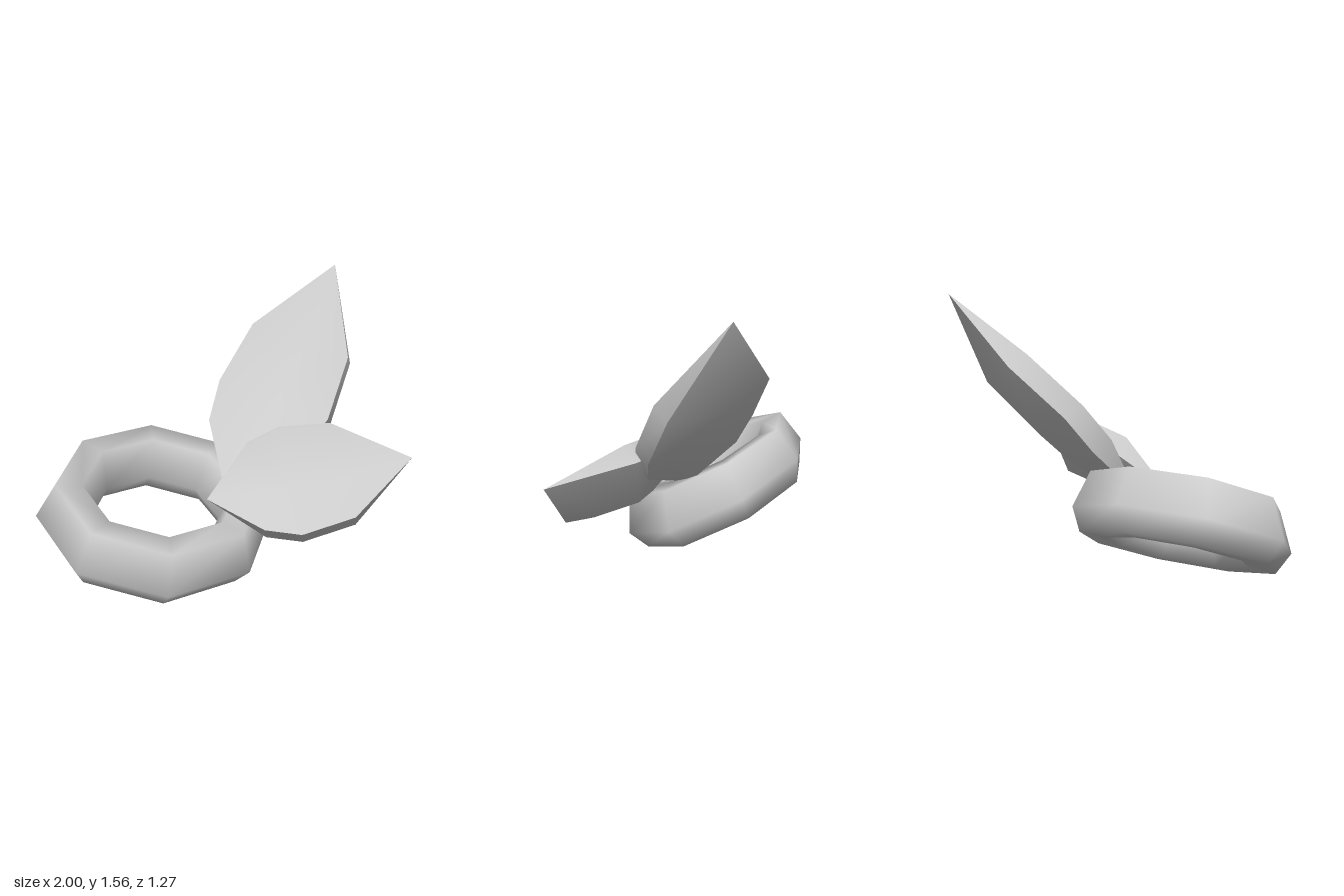
import * as THREE from 'three';
import { toCreasedNormals } from 'three/addons/utils/BufferGeometryUtils.js';

const V = (x, y, z) => new THREE.Vector3(x, y, z);
const material = new THREE.MeshStandardMaterial({ color: 0xcccccc });

// Eight-segment oval ring with a six-sided section, tilted towards the front
function createRing() {
  const centre = V(-0.365, 0.317, 0.137);
  const u = V(-0.635, 0.063, 0.103);      // long half axis
  const v = V(-0.065, 0.23, -0.499);      // short half axis
  const middle = V(0, 0, 0), top = V(0.033, 0.2, 0.053), bottom = V(-0.02, -0.113, -0.048);
  // [share of the outer radius, offset of the loop's centre]
  const section = [[1, middle], [0.87, top], [0.65, top], [0.54, middle], [0.65, bottom], [0.89, bottom]];
  const segments = 8, sides = section.length;
  const positions = [], index = [];
  for (let i = 0; i < segments; i++) {
    const a = (i / segments) * Math.PI * 2;
    section.forEach(([r, offset], j) => {
      const p = centre.clone().add(offset)
        .addScaledVector(u, r * Math.cos(a))
        .addScaledVector(v, r * Math.sin(a));
      positions.push(p.x, p.y, p.z);
      const next = ((i + 1) % segments) * sides, here = i * sides, k = (j + 1) % sides;
      index.push(here + j, here + k, next + j, here + k, next + k, next + j);
    });
  }
  const geometry = new THREE.BufferGeometry();
  geometry.setAttribute('position', new THREE.Float32BufferAttribute(positions, 3));
  geometry.setIndex(index);
  geometry.computeVertexNormals();
  return geometry;
}

// Thick cupped leaf: front and back faces joined by a rim that closes at base and tip
function createLeaf(base, tip, left, right, thickness, keel) {
  const positions = [];
  const tri = (a, b, c) => {
    if (a === b || b === c || c === a) return;
    for (const p of [a, b, c]) positions.push(p.x, p.y, p.z);
  };
  const quad = (a, b, c, d) => { tri(a, b, c); tri(a, c, d); };
  const row = (points) => [base, ...points, tip];
  const shift = (p) => p.clone().add(thickness);
  const middle = left.map((p, i) => p.clone().lerp(right[i], 0.5).add(keel[i]));

  const [fl, fm, fr] = [left, middle, right].map(row);
  const [bl, bm, br] = [left, middle, right].map((points) => row(points.map(shift)));
  for (let i = 0; i < fl.length - 1; i++) {
    // front halves, back halves, left rim, right rim
    for (const [a, b] of [[fl, fm], [fm, fr], [br, bm], [bm, bl], [bl, fl], [fr, br]]) {
      quad(a[i], b[i], b[i + 1], a[i + 1]);
    }
  }
  const geometry = new THREE.BufferGeometry();
  geometry.setAttribute('position', new THREE.Float32BufferAttribute(positions, 3));
  return toCreasedNormals(geometry, 1);
}

export function createModel() {
  const model = new THREE.Group();
  const add = (name, geometry) => {
    const mesh = new THREE.Mesh(geometry, material);
    mesh.name = name;
    model.add(mesh);
  };

  add('ring', createRing());

  // Tall leaf leaning up and back
  add('tallLeaf', createLeaf(
    V(0.015, 0.45, 0.14), V(0.69, 1.555, -0.635),
    [V(-0.065, 0.79, -0.1), V(0, 0.98, -0.24), V(0.2, 1.25, -0.455)],
    [V(0.42, 0.675, 0.134), V(0.58, 0.82, 0.01), V(0.715, 1.11, -0.21)],
    V(0.03, -0.062, -0.1),
    [V(0.015, -0.07, -0.04), V(0.03, -0.05, -0.07), V(0.03, -0.04, -0.075)]
  ));

  // Short leaf reaching out to the side
  add('sideLeaf', createLeaf(
    V(-0.09, 0.47, 0.27), V(1, 0.68, 0.25),
    [V(0.13, 0.75, 0.16), V(0.3, 0.81, 0.09), V(0.58, 0.825, 0.08)],
    [V(0.2, 0.387, 0.495), V(0.39, 0.37, 0.525), V(0.67, 0.443, 0.482)],
    V(0.015, -0.077, -0.082),
    [V(0.01, -0.055, -0.05), V(0.01, -0.08, -0.07), V(0.02, -0.085, -0.06)]
  ));

  return model;
}
